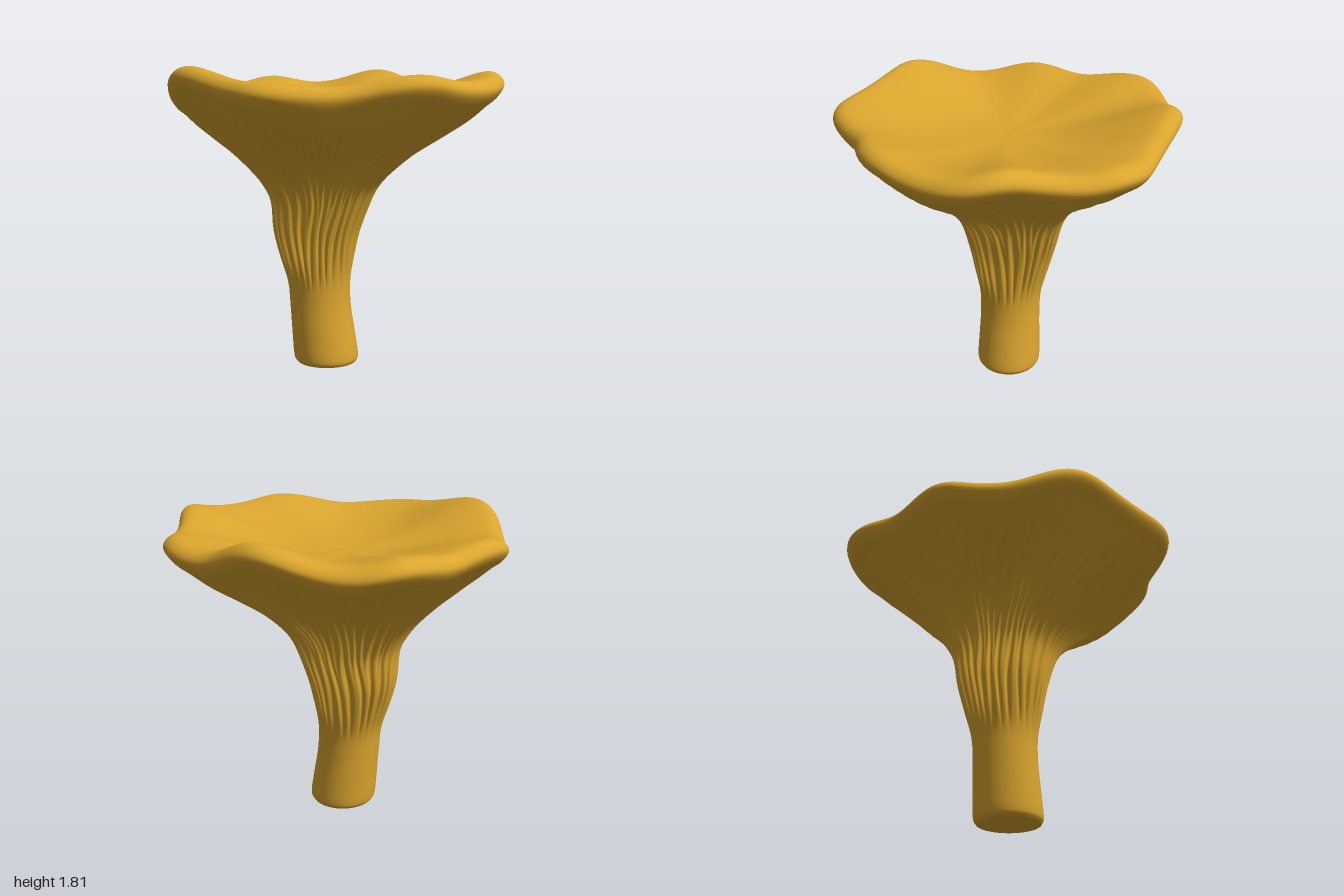
import * as THREE from 'three';

const SEGMENTS = 504;   // around
const STEPS = 4;        // rings per profile span

// wavy rim of the cap, seen from above: x, crest height, z
const RIM = [
  [1.008, 1.765, -0.07], [0.975, 1.735, 0.1], [0.885, 1.735, 0.32], [0.785, 1.77, 0.5], [0.68, 1.76, 0.605],
  [0.52, 1.735, 0.675], [0.38, 1.705, 0.75], [0.2, 1.71, 0.915], [0, 1.725, 1], [-0.2, 1.74, 0.935],
  [-0.4, 1.78, 0.845], [-0.6, 1.82, 0.76], [-0.74, 1.785, 0.63], [-0.87, 1.69, 0.4], [-0.97, 1.7, 0.18],
  [-1.008, 1.74, 0.03], [-0.955, 1.74, -0.16], [-0.89, 1.71, -0.35], [-0.87, 1.74, -0.55], [-0.82, 1.765, -0.72],
  [-0.735, 1.755, -0.825], [-0.6, 1.72, -0.885], [-0.4, 1.73, -0.94], [-0.1, 1.81, -1.01], [0.1, 1.775, -0.965],
  [0.3, 1.7, -0.9], [0.5, 1.71, -0.865], [0.66, 1.735, -0.77], [0.75, 1.71, -0.61], [0.82, 1.735, -0.42],
  [0.945, 1.795, -0.24],
];

// profile from foot to rim to the middle of the shallow top:
// radius, height, share of the wavy rim, axis x, axis z
const PROFILE = [
  [0.001, 0, 0, -0.06, -0.04], [0.16, 0, 0, -0.06, -0.04], [0.19, 0.012, 0, -0.062, -0.04],
  [0.2, 0.05, 0, -0.066, -0.04], [0.195, 0.18, 0, -0.082, -0.04], [0.188, 0.35, 0, -0.102, -0.04],
  [0.192, 0.5, 0, -0.112, -0.04], [0.22, 0.65, 0, -0.125, -0.042], [0.258, 0.82, 0, -0.13, -0.047],
  [0.303, 1, 0.02, -0.105, -0.05], [0.36, 1.11, 0.04, -0.1, -0.045], [0.45, 1.21, 0.1, -0.09, -0.035],
  [0.565, 1.31, 0.23, -0.08, -0.03], [0.705, 1.41, 0.48, -0.06, -0.02], [0.83, 1.5, 0.8, -0.03, -0.01],
  [0.915, 1.575, 0.97, 0, 0], [0.965, 1.615, 1, 0, 0], [1, 1.67, 1, 0, 0], [0.985, 1.712, 1, 0, 0],
  [0.94, 1.737, 1, 0, 0], [0.87, 1.735, 0.92, 0, 0], [0.73, 1.705, 0.66, 0, 0],
  [0.52, 1.65, 0.33, -0.02, 0], [0.28, 1.605, 0.08, -0.04, -0.01], [0.001, 1.59, 0, -0.05, -0.02],
];
const GILL_START = 6, LIP_START = 15;

const curve = (points, closed) =>
  new THREE.CatmullRomCurve3(points.map(p => new THREE.Vector3(...p)), closed, 'catmullrom', 0.5);

// narrow grooves that fork towards the rim
function gillDepth(angle, y) {
  const bend = angle + 0.05 * Math.sin(3 * angle + 4 * y) + 0.02 * Math.sin(11 * angle - 7 * y);
  const groove = Math.pow(Math.abs(Math.cos(14 * bend)), 5);
  const fork = Math.pow(Math.abs(Math.sin(14 * bend)), 5);
  const fade = THREE.MathUtils.smoothstep(y, 0.46, 0.75) * (1 - THREE.MathUtils.smoothstep(y, 1.4, 1.58));
  const forkFade = THREE.MathUtils.smoothstep(y, 0.85, 1.2);
  return 0.021 * fade * (0.4 - groove - fork * forkFade);
}

// rim samples, averaged with their neighbours for soft waves
function sampleRim() {
  const rim = curve(RIM, true), reach = 9;
  const raw = Array.from({ length: SEGMENTS }, (_, i) => rim.getPointAt(i / SEGMENTS));
  return raw.map((_, i) => {
    const sum = new THREE.Vector3();
    for (let k = -reach; k <= reach; k++) sum.add(raw[(i + k + SEGMENTS) % SEGMENTS]);
    return sum.divideScalar(2 * reach + 1);
  });
}

function buildSurface() {
  const rimPoints = sampleRim();
  const profile = curve(PROFILE.map(p => p.slice(0, 3)), false);
  const axis = curve(PROFILE.map(p => [p[3], 0, p[4]]), false);
  const rings = (PROFILE.length - 1) * STEPS;
  const positions = [];

  for (let i = 0; i <= rings; i++) {
    const t = i / rings;
    const p = profile.getPoint(t), c = axis.getPoint(t), d = profile.getTangent(t);
    const len = Math.hypot(d.x, d.y) || 1;
    const wave = THREE.MathUtils.clamp(p.z, 0, 1);
    const ribbed = i >= GILL_START * STEPS && i <= LIP_START * STEPS;
    for (const q of rimPoints) {
      const angle = Math.atan2(q.z, q.x);
      const depth = ribbed ? gillDepth(angle, p.y) : 0;
      const r = Math.max(p.x, 0.001) + depth * d.y / len;
      const y = Math.max(p.y, 0) - depth * d.x / len;
      positions.push(
        THREE.MathUtils.lerp(c.x + r * Math.cos(angle), q.x * r, wave),
        y + wave * (q.y - 1.74),
        THREE.MathUtils.lerp(c.z + r * Math.sin(angle), q.z * r, wave),
      );
    }
  }
  const geometry = new THREE.BufferGeometry();
  geometry.setAttribute('position', new THREE.Float32BufferAttribute(positions, 3));
  geometry.setIndex(bandIndex(0, rings));
  geometry.computeVertexNormals();
  return geometry;
}

// triangles between two rings
function bandIndex(from, to) {
  const index = [];
  for (let i = from; i < to; i++) {
    for (let j = 0; j < SEGMENTS; j++) {
      const k = (j + 1) % SEGMENTS;
      const a = i * SEGMENTS + j, b = i * SEGMENTS + k;
      index.push(a, a + SEGMENTS, b, b, a + SEGMENTS, b + SEGMENTS);
    }
  }
  return index;
}

export function createModel() {
  const group = new THREE.Group();
  group.name = 'mushroom';
  const golden = new THREE.MeshStandardMaterial({ color: 0xdaa52e });
  golden.name = 'golden yellow';

  // three bands of one continuous skin, sharing smooth normals
  const skin = buildSurface();
  const addBand = (name, from, to) => {
    const geometry = new THREE.BufferGeometry();
    geometry.setAttribute('position', skin.getAttribute('position'));
    geometry.setAttribute('normal', skin.getAttribute('normal'));
    geometry.setIndex(bandIndex(from * STEPS, to * STEPS));
    const mesh = new THREE.Mesh(geometry, golden);
    mesh.name = name;
    group.add(mesh);
  };
  addBand('stem', 0, GILL_START);
  addBand('gills', GILL_START, LIP_START);
  addBand('cap', LIP_START, PROFILE.length - 1);
  return group;
}
